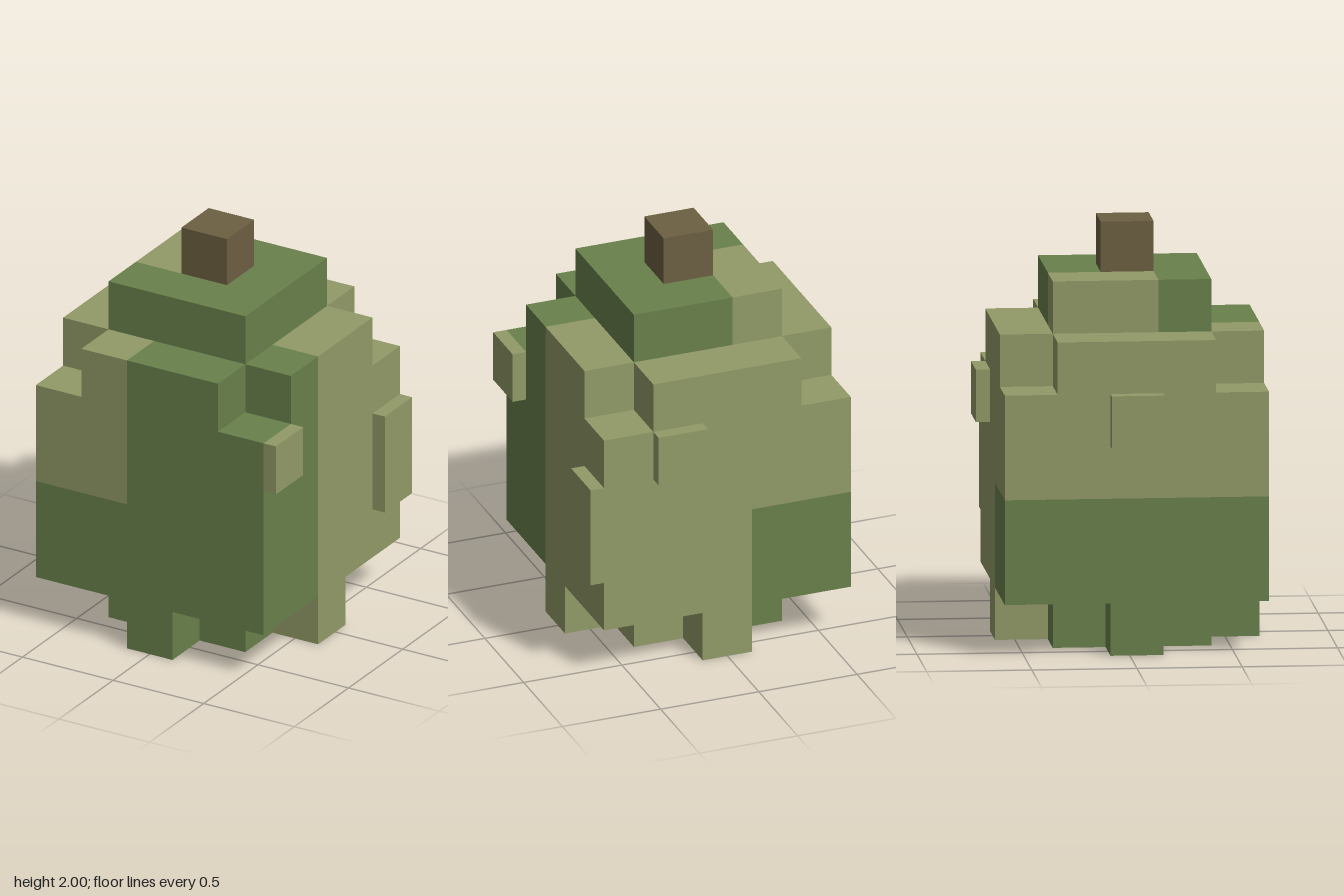
import * as THREE from 'three';
import { mergeGeometries } from 'three/addons/utils/BufferGeometryUtils.js';

const U = 0.2513;       // block size
const ZC = 0.034;       // body centre in z
const PLATE = 0.068;    // thickness of the raised scales
const HALF = 2.5 * U;

function makeMaterial(name, color) {
  const m = new THREE.MeshStandardMaterial({ color });
  m.name = name;
  return m;
}

// Block footprints, with i and k running from -2 to 2 around the centre
const diamond = (i, k) => Math.abs(i) + Math.abs(k) <= 2;
const square = (i, k) => Math.max(Math.abs(i), Math.abs(k)) <= 2;
const clipped = (i, k) => square(i, k) && Math.abs(i) + Math.abs(k) < 4;
const small = (i, k) => Math.max(Math.abs(i), Math.abs(k)) <= 1;
const LAYERS = [diamond, square, square, square, square, clipped, small];
const filled = (i, j, k) => j >= 0 && j < LAYERS.length && LAYERS[j](i, k);

// Patchwork of the two greens
function isDark(i, j, k) {
  if (j === 6) return i >= 0 || k >= 1;
  return i >= 0 ? k >= 1 : j < 3;
}

// Outward directions with the rotation that turns a +z plane to face them
const SIDES = [
  [0, 0, 1, 0, 0], [0, 0, -1, 0, Math.PI],
  [1, 0, 0, 0, Math.PI / 2], [-1, 0, 0, 0, -Math.PI / 2],
  [0, 1, 0, -Math.PI / 2, 0], [0, -1, 0, Math.PI / 2, 0],
];

// Exposed block faces of one colour for the layers from j0 to j1
function blockSkin(j0, j1, dark) {
  const faces = [];
  for (let j = j0; j <= j1; j++)
    for (let i = -2; i <= 2; i++)
      for (let k = -2; k <= 2; k++) {
        if (!filled(i, j, k) || isDark(i, j, k) !== dark) continue;
        for (const [dx, dy, dz, rx, ry] of SIDES) {
          if (filled(i + dx, j + dy, k + dz)) continue;
          faces.push(new THREE.PlaneGeometry(U, U)
            .translate(0, 0, U / 2).rotateX(rx).rotateY(ry)
            .translate(i * U, (j + 0.5) * U, k * U + ZC));
        }
      }
  return mergeGeometries(faces);
}

export function createModel() {
  const model = new THREE.Group();
  model.name = 'blockyPod';
  const darkGreen = makeMaterial('darkGreen', 0x6a814c);
  const paleGreen = makeMaterial('paleGreen', 0x929b68);
  const brown = makeMaterial('brown', 0x6d6042);

  const add = (name, geometry, material) => {
    const mesh = new THREE.Mesh(geometry, material);
    mesh.name = name;
    model.add(mesh);
    return mesh;
  };

  // Stepped base, body, shoulder and cap in two greens
  for (const [name, j0, j1] of [['base', 0, 0], ['body', 1, 4], ['shoulder', 5, 5], ['cap', 6, 6]]) {
    add(name + 'Dark', blockSkin(j0, j1, true), darkGreen);
    add(name + 'Pale', blockSkin(j0, j1, false), paleGreen);
  }

  // Stem
  const stemHeight = 2 - 7 * U;
  add('stem', new THREE.BoxGeometry(U, stemHeight, U), brown)
    .position.set(0, 7 * U + stemHeight / 2, ZC);

  // Raised scales on the sides and back
  const out = HALF + PLATE / 2;
  add('leftFrontScale', new THREE.BoxGeometry(PLATE, U, U), paleGreen)
    .position.set(out, 4.5 * U, ZC + 2 * U);
  add('leftBackScale', new THREE.BoxGeometry(PLATE, 2 * U, U), paleGreen)
    .position.set(out, 3 * U, ZC - 2 * U);
  add('rightScale', new THREE.BoxGeometry(PLATE, U, U), paleGreen)
    .position.set(-out, 4.5 * U, ZC);
  add('backScale', new THREE.BoxGeometry(U, U, PLATE), paleGreen)
    .position.set(U, 4.5 * U, ZC - out);

  return model;
}
